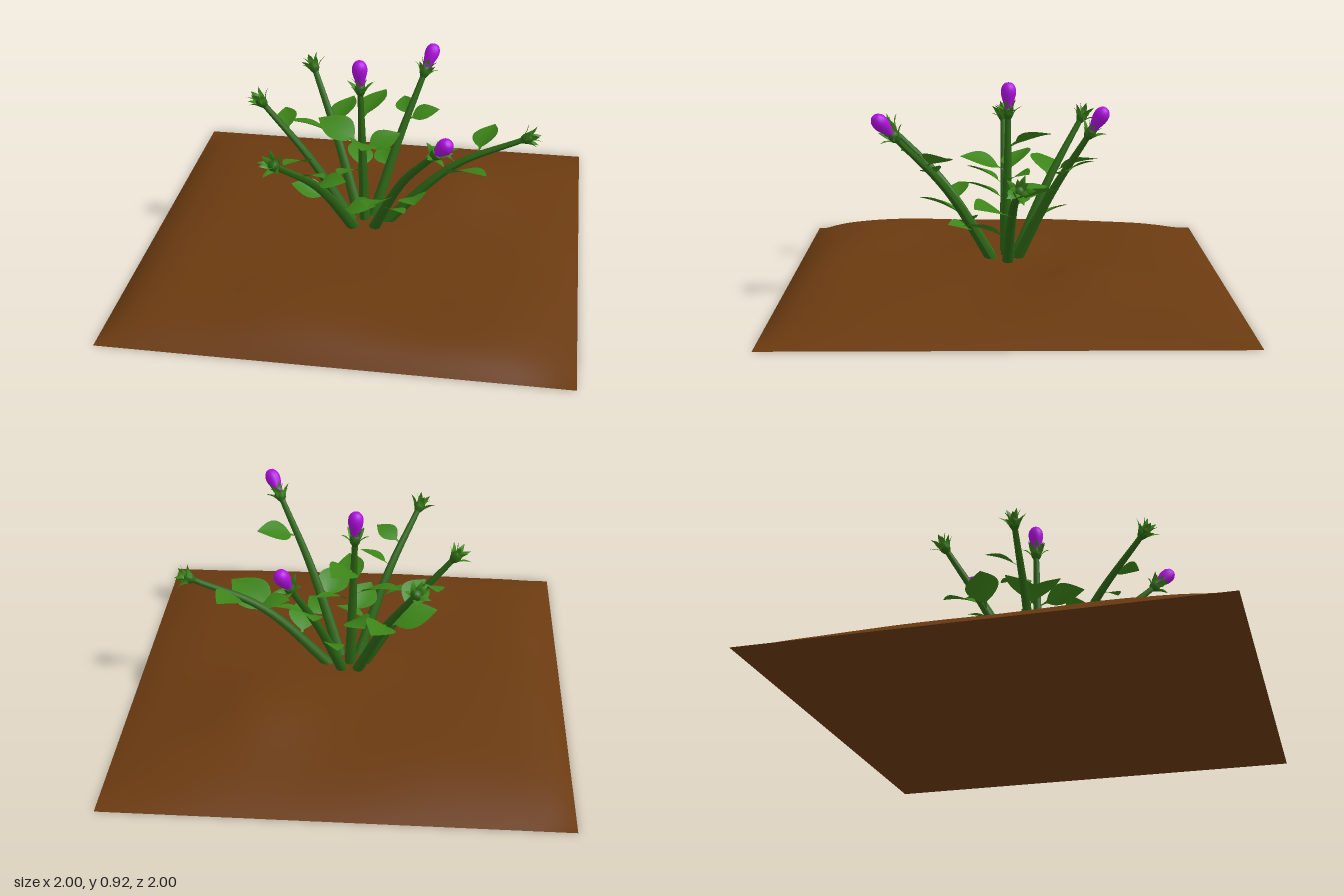
import * as THREE from 'three';

const V = (x, y, z) => new THREE.Vector3(x, y, z);
const UP = V(0, 1, 0);
const mat = (color, side = THREE.FrontSide) => new THREE.MeshStandardMaterial({ color, side });
const soilMat = mat(0x6a3a10), stemMat = mat(0x2b6414);
const leafMat = mat(0x3c8418, THREE.DoubleSide), budMat = mat(0xb010e0);

function add(parent, name, geometry, material) {
  const mesh = new THREE.Mesh(geometry, material);
  mesh.name = name;
  parent.add(mesh);
  return mesh;
}

// Ground height: a rounded pillow falling to zero at the border, with soft bumps
function soilHeight(x, z) {
  const fall = (v, low, high) => 1 - Math.pow(Math.abs(v), v < 0 ? low : high);
  const hump = (cx, cz, h) => h * Math.exp(-((x - cx) ** 2 + (z - cz) ** 2) / 0.07);
  const bumps = 0.106 + hump(0.4, -0.4, 0.04) + hump(-0.3, 0.65, 0.016) + hump(-0.1, 0, 0.015)
    + 0.005 * Math.sin(7 * x + 3 * z) + 0.004 * Math.sin(9 * z - 4 * x);
  return bumps * fall(x, 9, 4) * fall(z, 4.5, 9);
}

function makeSoil() {
  const soil = new THREE.Group();
  soil.name = 'soil';
  const top = new THREE.PlaneGeometry(2, 2, 60, 60).rotateX(-Math.PI / 2);
  const p = top.attributes.position;
  for (let i = 0; i < p.count; i++) p.setY(i, soilHeight(p.getX(i), p.getZ(i)));
  top.computeVertexNormals();
  add(soil, 'soilMound', top, soilMat);
  add(soil, 'soilBase', new THREE.PlaneGeometry(2, 2).rotateX(Math.PI / 2), soilMat);
  return soil;
}

// Stem path: leans out from the middle of the plant, arching more the further it reaches
function stemCurve(end) {
  const base = V(end.x * 0.1, 0.08, end.z * 0.1);
  const middle = base.clone().lerp(end, 0.5);
  middle.y += 0.17 * (end.x ** 2 + end.z ** 2);
  return new THREE.CatmullRomCurve3([base, middle, end]);
}

// Tube narrowing from r0 to r1 along a curve
function taperedTube(curve, r0, r1, segments = 16, sides = 8) {
  const g = new THREE.TubeGeometry(curve, segments, 1, sides);
  const p = g.attributes.position, v = V(0, 0, 0);
  for (let i = 0; i < p.count; i++) {
    const u = Math.floor(i / (sides + 1)) / segments;
    const c = curve.getPointAt(u);
    v.fromBufferAttribute(p, i).sub(c).multiplyScalar(r0 + (r1 - r0) * u).add(c);
    p.setXYZ(i, v.x, v.y, v.z);
  }
  g.computeVertexNormals();
  return g;
}

// Leaf blade along +y, facing +z: narrow stalk, broad middle, pointed tip
function bladeGeometry(length, width, stalk, curl) {
  const g = new THREE.PlaneGeometry(1, 1, 4, 14);
  const p = g.attributes.position;
  for (let i = 0; i < p.count; i++) {
    const s = p.getX(i), t = p.getY(i) + 0.5;
    const u = Math.max(0, (t - stalk) / (1 - stalk));
    const w = Math.max(Math.sin(Math.PI * Math.pow(u, 0.8)) * width, t < 0.9 ? 0.009 : 0);
    const bow = Math.sin(Math.PI * t) * curl * length;
    p.setXYZ(i, s * w, t * length, bow + Math.abs(s) * w * 0.18);
  }
  g.computeVertexNormals();
  return g;
}

// Leaf growing from base towards a compass angle, rising as it goes
function makeLeaf(base, degrees, reach, roll) {
  const a = THREE.MathUtils.degToRad(degrees);
  const dir = V(Math.cos(a), 0.36, Math.sin(a)).normalize();
  const side = V(0, 0, 0).crossVectors(dir, UP).normalize().applyAxisAngle(dir, roll);
  const face = V(0, 0, 0).crossVectors(side, dir);
  const leaf = new THREE.Mesh(bladeGeometry(reach * 1.06, reach * 0.64, 0.2, 0.06), leafMat);
  leaf.name = 'leaf';
  leaf.quaternion.setFromRotationMatrix(new THREE.Matrix4().makeBasis(side, dir, face));
  leaf.position.copy(base);
  return leaf;
}

const lathe = (points) =>
  new THREE.LatheGeometry(new THREE.SplineCurve(points.map(([x, y]) => new THREE.Vector2(x, y))).getPoints(16), 14);

// Stem end along +y: green cup, two rings of sepals, and a petal bud if it flowers
function makeFlowerHead(flowering) {
  const head = new THREE.Group();
  head.name = flowering ? 'flowerHead' : 'greenHead';
  add(head, 'calyxCup', lathe([[0.012, -0.02], [0.023, 0], [0.024, 0.02], [0.016, 0.035], [0, 0.04]]), stemMat);
  const sepal = bladeGeometry(0.075, 0.028, 0, -0.16);
  for (let ring = 0; ring < 2; ring++) {
    for (let i = 0; i < 5; i++) {
      const pivot = new THREE.Group();
      pivot.name = 'sepalPivot';
      pivot.rotation.y = (i + ring / 2) * Math.PI * 2 / 5;
      const blade = add(pivot, 'sepal', sepal, leafMat);
      blade.position.set(0, -0.012 * ring, 0.015);
      blade.rotation.x = ring ? 0.75 : 0.35;
      head.add(pivot);
    }
  }
  if (flowering) {
    add(head, 'petalBud', lathe([[0.014, 0.01], [0.022, 0.05], [0.034, 0.095],
      [0.032, 0.125], [0.018, 0.145], [0, 0.15]]), budMat);
  }
  return head;
}

// One branch; each leaf is [position along stem, compass angle, reach]
function makeBranch(end, flowering, leaves) {
  const branch = new THREE.Group();
  branch.name = 'branch';
  const curve = stemCurve(end);
  add(branch, 'stem', taperedTube(curve, 0.027, 0.013), stemMat);
  leaves.forEach(([t, degrees, reach], i) => {
    branch.add(makeLeaf(curve.getPointAt(t), degrees, reach, i % 2 ? 0.3 : -0.3));
  });
  const head = makeFlowerHead(flowering);
  head.position.copy(end);
  head.quaternion.setFromUnitVectors(UP, curve.getTangentAt(1));
  branch.add(head);
  return branch;
}

export function createModel() {
  const model = new THREE.Group();
  model.name = 'floweringPlant';
  model.add(
    makeSoil(),
    // Green-tipped branches: left, right, back right, front right
    makeBranch(V(0.72, 0.57, -0.045), false, [[0.47, 35, 0.28], [0.6, 195, 0.16], [0.72, 290, 0.2], [0.27, 82, 0.21]]),
    makeBranch(V(-0.47, 0.69, 0.01), false, [[0.75, 253, 0.16], [0.5, 120, 0.21]]),
    makeBranch(V(-0.3, 0.71, -0.36), false, [[0.6, 286, 0.22], [0.55, 171, 0.24]]),
    makeBranch(V(-0.3, 0.66, 0.54), false, [[0.4, 180, 0.18], [0.6, 20, 0.16], [0.75, 36, 0.15], [0.25, 12, 0.17]]),
    // Flowering branches: front left, centre, back left
    makeBranch(V(0.36, 0.73, 0.475), true, [[0.75, -27, 0.21], [0.35, 107, 0.23], [0.25, 49, 0.16]]),
    makeBranch(V(-0.025, 0.77, -0.01), true, [[0.62, 82, 0.22], [0.42, 112, 0.21], [0.78, 293, 0.22],
      [0.55, 329, 0.19], [0.6, 203, 0.24], [0.4, 250, 0.2]]),
    makeBranch(V(0.225, 0.72, -0.36), true, [[0.7, 258, 0.14], [0.68, 350, 0.16], [0.35, 249, 0.15]]),
  );
  return model;
}
